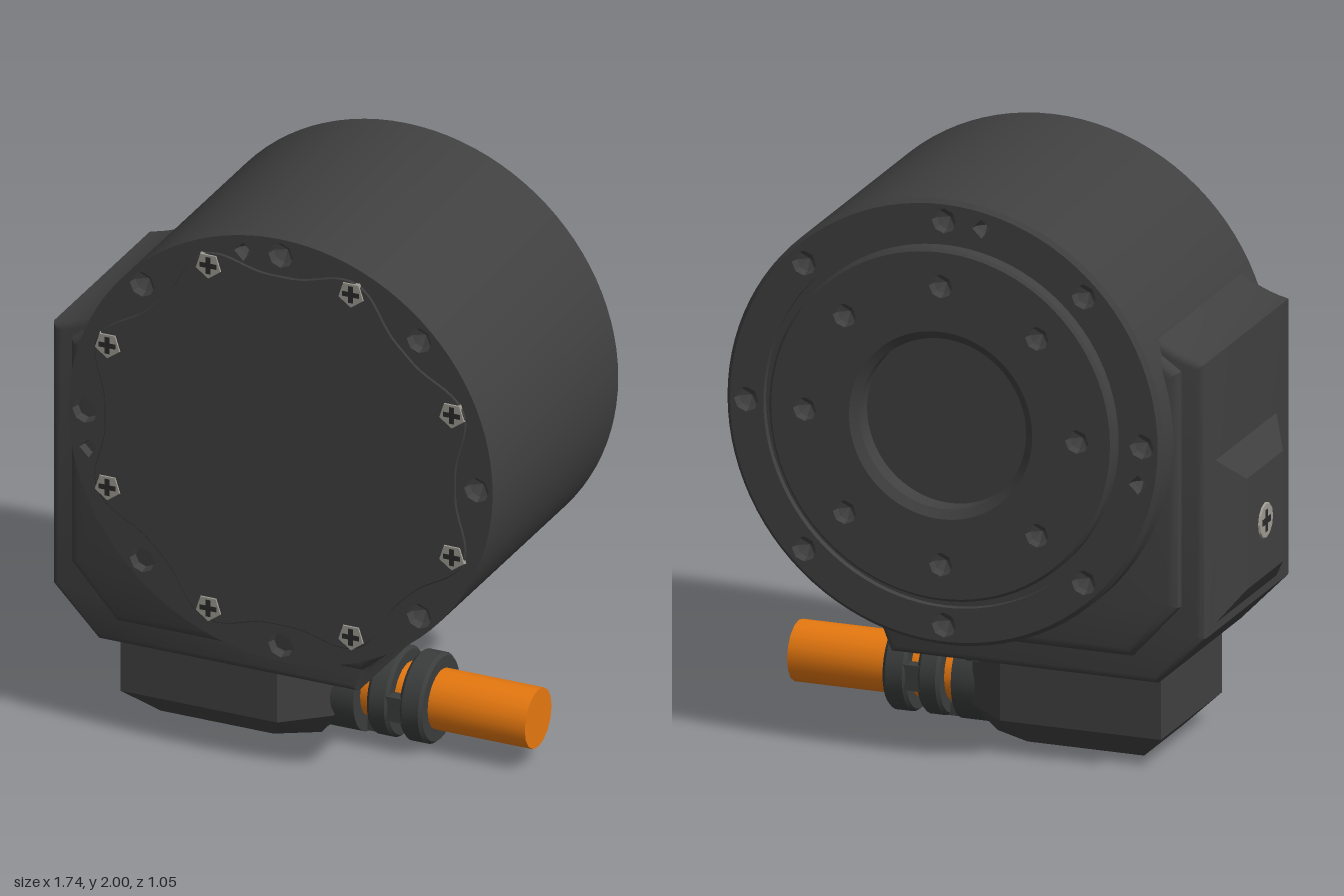
import * as THREE from 'three';
import { toCreasedNormals } from 'three/addons/utils/BufferGeometryUtils.js';
import { ConvexGeometry } from 'three/addons/geometries/ConvexGeometry.js';

const mat = (name, color) => {
  const m = new THREE.MeshStandardMaterial({ color });
  m.name = name;
  return m;
};
const V2 = (x, y) => new THREE.Vector2(x, y);
const V3 = (x, y, z) => new THREE.Vector3(x, y, z);

export function createModel() {
  const dark = mat('charcoal', 0x404040);
  const gland = mat('gland grey', 0x3b3d3d);
  const recess = mat('recess black', 0x2a2a2a);
  const steel = mat('steel', 0x9c9a90);
  const orange = mat('cable orange', 0xe67810);

  const root = new THREE.Group();
  const add = (name, geo, m, parent = root, x = 0, y = 0, z = 0) => {
    const mesh = new THREE.Mesh(geo, m);
    mesh.name = name;
    mesh.position.set(x, y, z);
    parent.add(mesh);
    return mesh;
  };

  // Lathe around z; points run counter-clockwise round the section as [radius, z]
  const turned = (pts, seg = 96) => toCreasedNormals(
    new THREE.LatheGeometry(pts.map(p => V2(...p)), seg).rotateX(Math.PI / 2), 0.5);

  const polygon = (r, n, cx = 0, cy = 0, C = THREE.Path) => new C(
    Array.from({ length: n }, (_, i) => {
      const a = i / n * Math.PI * 2;
      return V2(cx + r * Math.cos(a), cy + r * Math.sin(a));
    }));

  // Flat face toward +z with drilled, pointed pits
  const drilledFace = (name, parent, outer, inner, pits) => {
    const shape = polygon(outer, 96, 0, 0, THREE.Shape);
    if (inner) shape.holes.push(polygon(inner, 96));
    for (const { a, r, size, n } of pits) {
      const x = r * Math.cos(a), y = r * Math.sin(a);
      shape.holes.push(polygon(size, n, x, y));
      const pit = new THREE.LatheGeometry([V2(size, 0), V2(size * 0.85, -0.03), V2(0, -0.055)], n);
      add('drilledHole', toCreasedNormals(pit.rotateX(Math.PI / 2), 0.1), dark, parent, x, y, 0);
    }
    add(name, new THREE.ShapeGeometry(shape), dark, parent);
  };
  const pitRing = (r, size) => Array.from({ length: 8 }, (_, i) =>
    ({ a: i * Math.PI / 4, r, size, n: 8 }));
  const small = deg => ({ a: deg * Math.PI / 180, r: 0.724, size: 0.034, n: 4 });

  // Screw head facing +z with a cross recess
  const screw = (name, r, sides, parent, x, y, z) => {
    const g = new THREE.Group();
    g.name = name;
    g.position.set(x, y, z);
    parent.add(g);
    add('screwHead', toCreasedNormals(
      new THREE.CylinderGeometry(r * 0.85, r, 0.016, sides).rotateX(Math.PI / 2), 0.3), steel, g);
    for (const [w, h] of [[1.1, 0.32], [0.32, 1.1]])
      add('crossRecess', new THREE.BoxGeometry(w * r, h * r, 0.003), recess, g, 0, 0, 0.008);
    return g;
  };

  // Drum body
  const drum = new THREE.Group();
  drum.name = 'drum';
  drum.position.set(0.08, 1.215, 0);
  root.add(drum);
  add('drumWall', turned([[0.77, -0.49], [0.785, -0.475], [0.785, 0.516]]), dark, drum);

  // Front rim, scalloped cover and its screws
  const front = new THREE.Group();
  front.name = 'frontFace';
  front.position.z = 0.516;
  drum.add(front);
  drilledFace('frontRim', front, 0.785, 0, [...pitRing(0.725, 0.046), small(101), small(191)]);
  const scallop = new THREE.Shape(Array.from({ length: 192 }, (_, i) => {
    const a = i / 192 * Math.PI * 2;
    const r = 0.65 + 0.085 * Math.pow((1 - Math.cos(8 * a)) / 2, 1.5);
    return V2(r * Math.cos(a), r * Math.sin(a));
  }));
  add('coverPlate', new THREE.ExtrudeGeometry(scallop, {
    depth: 0.003, bevelThickness: 0.003, bevelSize: 0.004, bevelOffset: -0.004, bevelSegments: 1,
  }), dark, front);
  for (let i = 0; i < 8; i++) {
    const a = (i + 0.5) * Math.PI / 4;
    screw('coverScrew', 0.056, 5, front, 0.69 * Math.cos(a), 0.69 * Math.sin(a), 0.002).rotation.z = 0;
  }

  // Back rim, groove, output flange and centre recess
  const backSide = (z) => {
    const g = new THREE.Group();
    g.name = 'backFace';
    g.rotation.y = Math.PI;
    g.position.z = z;
    drum.add(g);
    return g;
  };
  drilledFace('backRim', backSide(-0.49), 0.77, 0.65,
    [...pitRing(0.712, 0.044), { ...small(79), r: 0.712 }, { ...small(-11), r: 0.712 }]);
  drilledFace('outputFlangeFace', backSide(-0.52), 0.61, 0.33, pitRing(0.49, 0.042));
  add('outputFlangeEdge', turned([[0.61, -0.52], [0.62, -0.51], [0.62, -0.465],
    [0.65, -0.465], [0.65, -0.49]]), dark, drum);
  add('centreRecess', turned([[0, -0.43], [0.3, -0.43], [0.3, -0.5], [0.33, -0.52]]), dark, drum);

  // Side housing that blends into the drum, with a wider skirt at its root
  const slab = (shape, z0, z1, b) => toCreasedNormals(new THREE.ExtrudeGeometry(shape, {
    depth: z1 - z0 - 2 * b, bevelThickness: b, bevelSize: b, bevelOffset: -b,
    bevelSegments: 3, curveSegments: 10,
  }).translate(0, 0, z0 + b), 0.6);
  const housing = new THREE.Shape();
  housing.moveTo(-0.8, 0.51);
  housing.lineTo(-0.63, 0.335);
  housing.lineTo(0.33, 0.335);
  housing.lineTo(0.36, 0.41);
  housing.quadraticCurveTo(0.41, 0.51, 0.58, 0.61);
  housing.lineTo(0.4, 1.2);
  housing.lineTo(-0.45, 1.7);
  housing.quadraticCurveTo(-0.63, 1.51, -0.8, 1.48);
  add('sideHousing', slab(housing, -0.35, 0.45, 0.025), dark);
  const skirt = new THREE.Shape([V2(-0.72, 0.62), V2(-0.55, 0.43), V2(0.36, 0.43),
    V2(0.56, 0.6), V2(0.3, 1.2), V2(-0.5, 1.6), V2(-0.72, 1.45)]);
  add('housingSkirt', slab(skirt, -0.39, 0.485, 0.035), dark);

  // Raised side cover with its screw
  const sideCover = [];
  for (const y of [-1, 1]) for (const z of [-1, 1]) {
    sideCover.push(V3(-0.79, 0.825 + y * 0.3, 0.04 + z * 0.295));
    sideCover.push(V3(-0.868, 0.825 + y * 0.195, 0.04 + z * 0.165));
  }
  add('sideCover', new ConvexGeometry(sideCover), dark);
  screw('sideCoverScrew', 0.07, 12, root, -0.866, 0.825, 0.04).rotation.y = -Math.PI / 2;

  // Connector box with chamfered bottom and tapered outlet end
  const box = [];
  for (const s of [-1, 1]) {
    for (const y of [0.34, 0.1])
      for (const [x, w] of [[-0.6, 0.28], [-0.02, 0.28], [0.13, 0.15]])
        box.push(V3(x, y, 0.05 + s * w));
    for (const [x, w] of [[-0.5, 0.18], [-0.08, 0.18], [0.06, 0.1]])
      box.push(V3(x, 0.003, 0.05 + s * w));
    add('cornerBolt', new THREE.CylinderGeometry(0.035, 0.035, 0.05, 12), gland, root,
      0.09, 0.315, 0.05 + s * 0.23);
  }
  add('connectorBox', new ConvexGeometry(box), dark);
  screw('connectorScrew', 0.065, 12, root, -0.27, 0.006, 0.05).rotation.x = Math.PI / 2;

  // Cable gland: neck and two rings joined by alternating bridges
  const outlet = new THREE.Group();
  outlet.name = 'cableOutlet';
  outlet.position.set(0, 0.165, 0.05);
  root.add(outlet);
  const rod = (name, x0, x1, r, m, seg) => add(name, toCreasedNormals(
    new THREE.CylinderGeometry(r, r, x1 - x0, seg).rotateZ(Math.PI / 2), 0.5), m, outlet, (x0 + x1) / 2);
  const ring = (name, x0, x1) => add(name, toCreasedNormals(new THREE.LatheGeometry(
    [[0.105, x0], [0.148, x0], [0.158, x0 + 0.012], [0.158, x1 - 0.012], [0.148, x1], [0.105, x1]]
      .map(p => V2(...p)), 32).rotateZ(-Math.PI / 2), 0.5), gland, outlet);
  rod('glandNeck', 0, 0.205, 0.16, gland, 32);
  ring('glandRing', 0.25, 0.33);
  ring('glandRing', 0.37, 0.455);
  for (const s of [-1, 1]) {
    add('glandBridge', new THREE.BoxGeometry(0.06, 0.045, 0.09), gland, outlet, 0.227, s * 0.127, 0);
    add('glandBridge', new THREE.BoxGeometry(0.06, 0.09, 0.045), gland, outlet, 0.35, 0, s * 0.127);
  }
  rod('cable', 0.15, 0.815, 0.106, orange, 16);

  return root;
}
